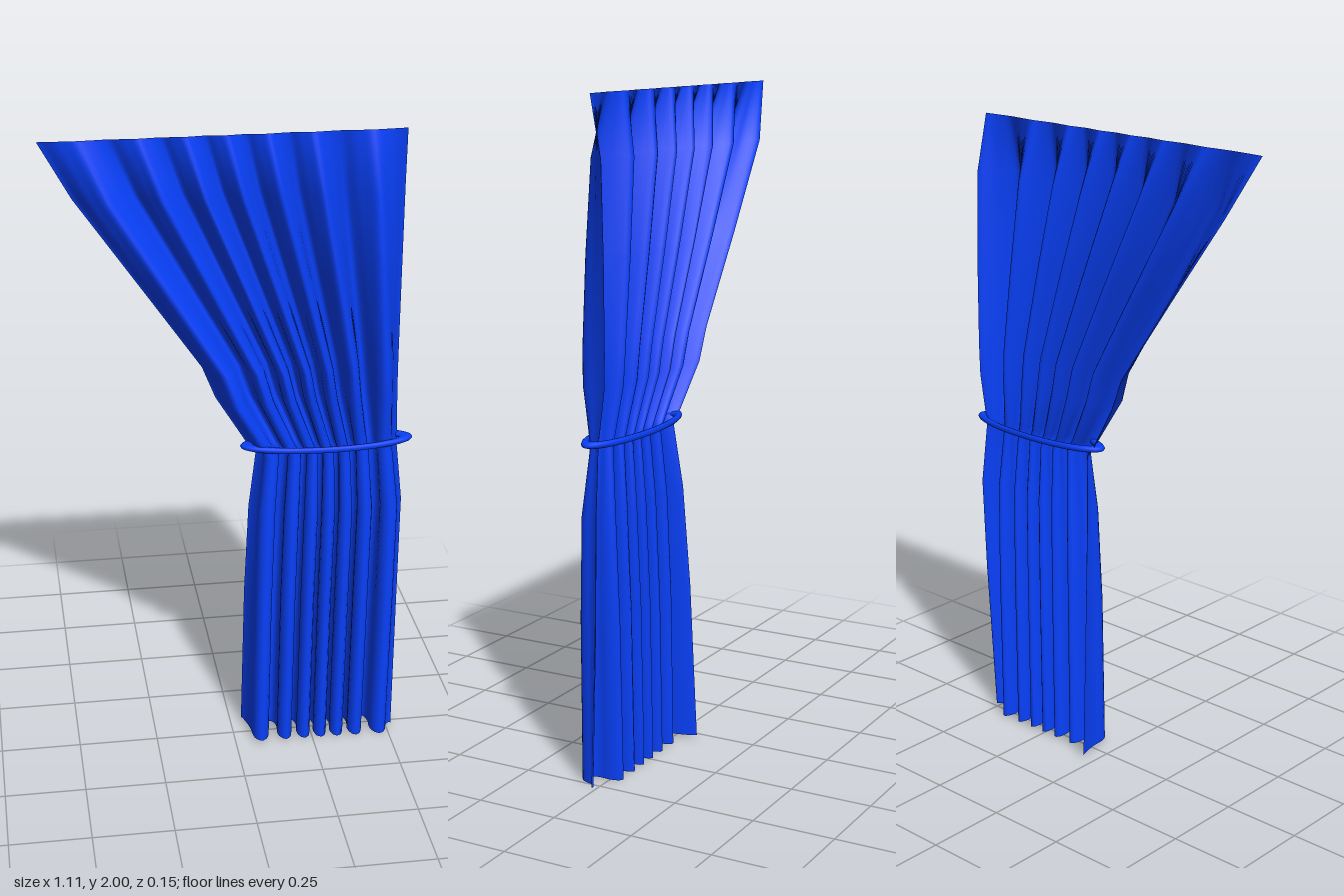
import * as THREE from 'three';

const FOLDS = 7; // pleats across the cloth
const COLS = 126;

// Outline of the cloth from top to hem: height, left edge x, right edge x, pleat depth, pleat overlap
const ROWS = [
  [2.00, -0.555, 0.503, 0.003, 0.000],
  [1.82, -0.46, 0.510, 0.044, 0.000],
  [1.55, -0.275, 0.511, 0.052, 0.003],
  [1.28, -0.09, 0.511, 0.054, 0.005],
  [1.18, -0.05, 0.511, 0.051, 0.006],
  [1.03, 0.045, 0.510, 0.027, 0.007],
  [1.00, 0.07, 0.510, 0.025, 0.007],
  [0.81, 0.052, 0.532, 0.042, 0.009],
  [0.50, 0.042, 0.528, 0.052, 0.009],
  [0.01, 0.036, 0.520, 0.056, 0.009],
];

// Pleated sheet: a plane whose rows follow the outline and whose columns wave in depth
function makeCloth() {
  const geo = new THREE.PlaneGeometry(1, 1, COLS, ROWS.length - 1);
  const pos = geo.attributes.position;
  ROWS.forEach(([y, left, right, depth, overlap], r) => {
    for (let c = 0; c <= COLS; c++) {
      const u = c / COLS;
      // pleats are wide at both edges and tighter in the middle
      const a = FOLDS * (u * Math.PI * 2 - 0.3 * Math.sin(u * Math.PI * 2));
      const ends = Math.min(1, u * 12, (1 - u) * 12);
      const x = left + (right - left) * u + overlap * ends * (Math.sin(2 * a) - 0.5 * Math.sin(a));
      // pointed wave, shallower in front on the drawn-aside upper part
      let wave = -(Math.cos(a) + 0.11 * Math.cos(3 * a)) / 1.11;
      if (wave > 0 && y > 1.2) wave *= Math.min(1, 0.65 + 0.8 * u);
      // the left edge swings back towards the hem, the right edge comes forward
      const drop = Math.max(0, 1 - y);
      const swing = 0.055 * Math.max(0, 1 - (1 - u) * 14) * drop - 0.035 * Math.max(0, 1 - u * 18) * drop;
      const z = 0.012 + depth * (0.12 + wave) + swing;
      pos.setXYZ(r * (COLS + 1) + c, x, r === ROWS.length - 1 ? y - 0.01 * u : y, z);
    }
  });
  geo.computeVertexNormals();
  return geo;
}

export function createModel() {
  const group = new THREE.Group();
  const material = new THREE.MeshStandardMaterial({ color: 0x0840fa, side: THREE.DoubleSide });

  const cloth = new THREE.Mesh(makeCloth(), material);
  cloth.name = 'curtainCloth';
  group.add(cloth);

  // Flattened ring that gathers the cloth
  const ring = new THREE.TorusGeometry(0.245, 0.022, 10, 64);
  ring.rotateX(Math.PI / 2);
  ring.scale(1, 0.45, 0.26);
  const tieback = new THREE.Mesh(ring, material);
  tieback.name = 'tiebackRing';
  tieback.position.set(0.287, 1.03, 0.005);
  group.add(tieback);

  return group;
}
